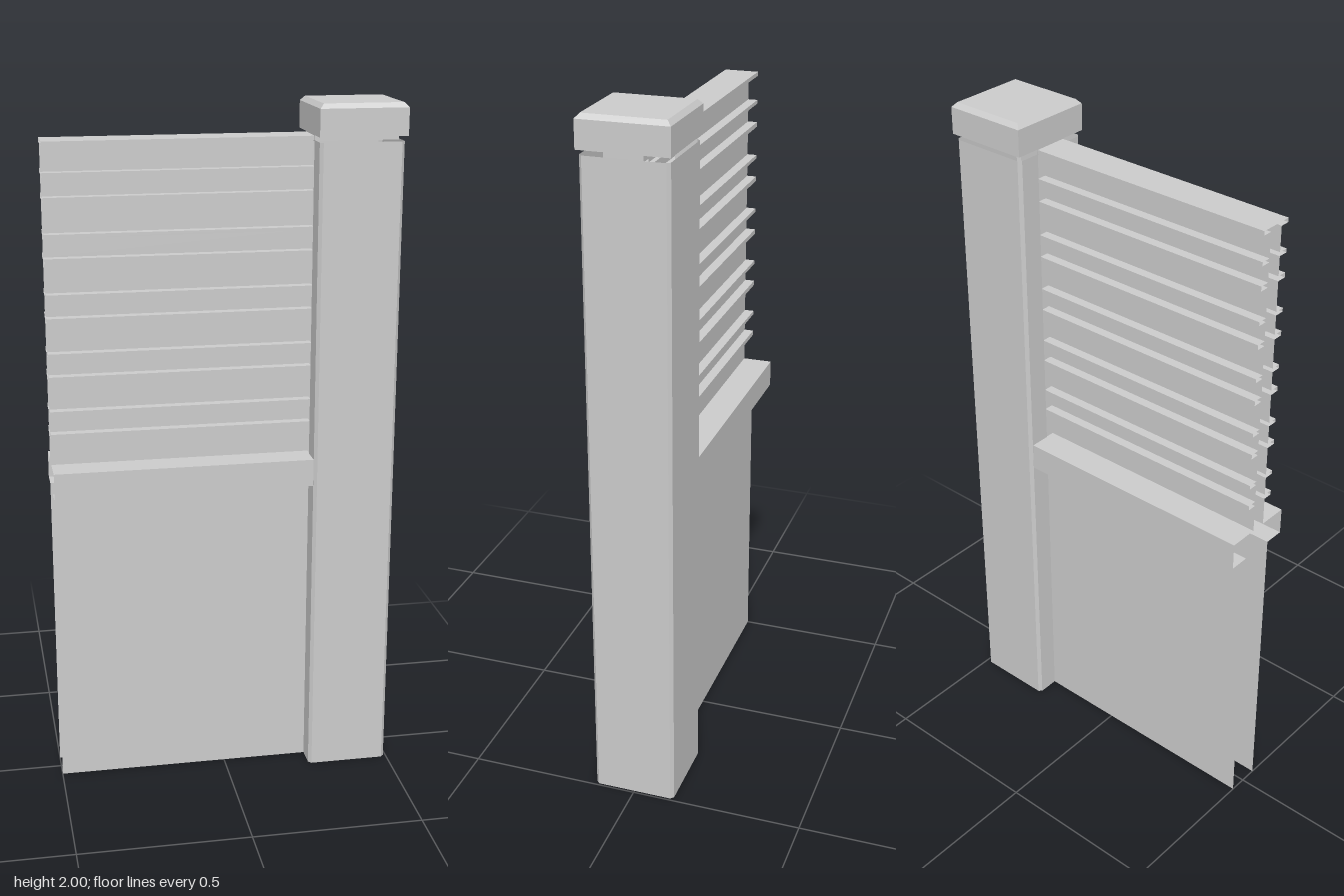
import * as THREE from 'three';

const material = new THREE.MeshStandardMaterial({ color: 0xcccccc, side: THREE.DoubleSide, flatShading: true });

// Sheet swept in a straight line: joins two copies of an open outline with flat quads
function sheet(name, outline, start, end) {
  const pos = [];
  for (let i = 0; i < outline.length - 1; i++) {
    const a = start(outline[i]), b = start(outline[i + 1]);
    const c = end(outline[i + 1]), d = end(outline[i]);
    pos.push(...a, ...b, ...c, ...a, ...c, ...d);
  }
  const geometry = new THREE.BufferGeometry();
  geometry.setAttribute('position', new THREE.Float32BufferAttribute(pos, 3));
  geometry.computeVertexNormals();
  const mesh = new THREE.Mesh(geometry, material);
  mesh.name = name;
  return mesh;
}

// Wall outlines are [z, y] and run along x; each is built for front and back
function wallPart(name, outline) {
  const group = new THREE.Group();
  group.name = name;
  for (const side of [1, -1]) {
    const o = side > 0 ? outline : outline.map(([z, y]) => [-z, y]).reverse();
    group.add(sheet(side > 0 ? name + 'Front' : name + 'Back', o,
      ([z, y]) => [-0.5, y, z], ([z, y]) => [0.255, y, z]));
  }
  return group;
}

export function createModel() {
  const model = new THREE.Group();
  model.name = 'fenceSection';

  // Lower hollow wall and the projecting rail on top of it
  const face = 0.05, web = 0.022;
  model.add(wallPart('lowerPanel', [[face, 0], [face, 0.905]]));
  model.add(wallPart('middleRail', [[face, 0.905], [0.11, 0.905], [0.11, 0.985], [web, 0.985]]));

  // Upper wall with evenly spaced pairs of ribs and a flat top flange
  const ribs = [[web, 0.985]];
  for (let i = 0; i < 5; i++) {
    const y = 1.07 + i * 0.168;
    for (const [low, high] of [[y, y + 0.014], [y + 0.07, y + 0.081]])
      ribs.push([web, low], [face, low], [face, high], [web, high]);
  }
  ribs.push([web, 1.895], [face, 1.895], [face, 1.907], [0, 1.907]);
  model.add(wallPart('ribbedPanel', ribs));

  // Hollow post with chamfered corners, open where the wall enters
  const x0 = 0.253, x1 = 0.493, z1 = 0.12, c = 0.009;
  const half = [[x0, 0.05], [x0, z1 - c], [x0 + c, z1], [x1 - c, z1], [x1, z1 - c]];
  const post = [...half, ...half.map(([x, z]) => [x, -z]).reverse()];
  model.add(sheet('post', post, ([x, z]) => [x, 0, z], ([x, z]) => [x, 1.895, z]));

  // Neck holding the cap just above the post
  const neck = new THREE.Mesh(new THREE.BoxGeometry(x1 - x0, 0.02, 0.105), material);
  neck.name = 'capNeck';
  neck.position.set((x0 + x1) / 2, 1.902, 0);
  model.add(neck);

  // Post cap: square block with a bevelled top edge
  const cap = new THREE.Group();
  cap.name = 'postCap';
  cap.position.set(0.375, 0, 0);
  const block = new THREE.Mesh(new THREE.BoxGeometry(0.25, 0.077, 0.25), material);
  block.name = 'capBlock';
  block.position.y = 1.9485;
  const bevelGeometry = new THREE.CylinderGeometry(0.113 * Math.SQRT2, 0.125 * Math.SQRT2, 0.013, 4, 1);
  bevelGeometry.rotateY(Math.PI / 4);
  const bevel = new THREE.Mesh(bevelGeometry, material);
  bevel.name = 'capBevel';
  bevel.position.y = 1.9935;
  cap.add(block, bevel);
  model.add(cap);

  return model;
}
